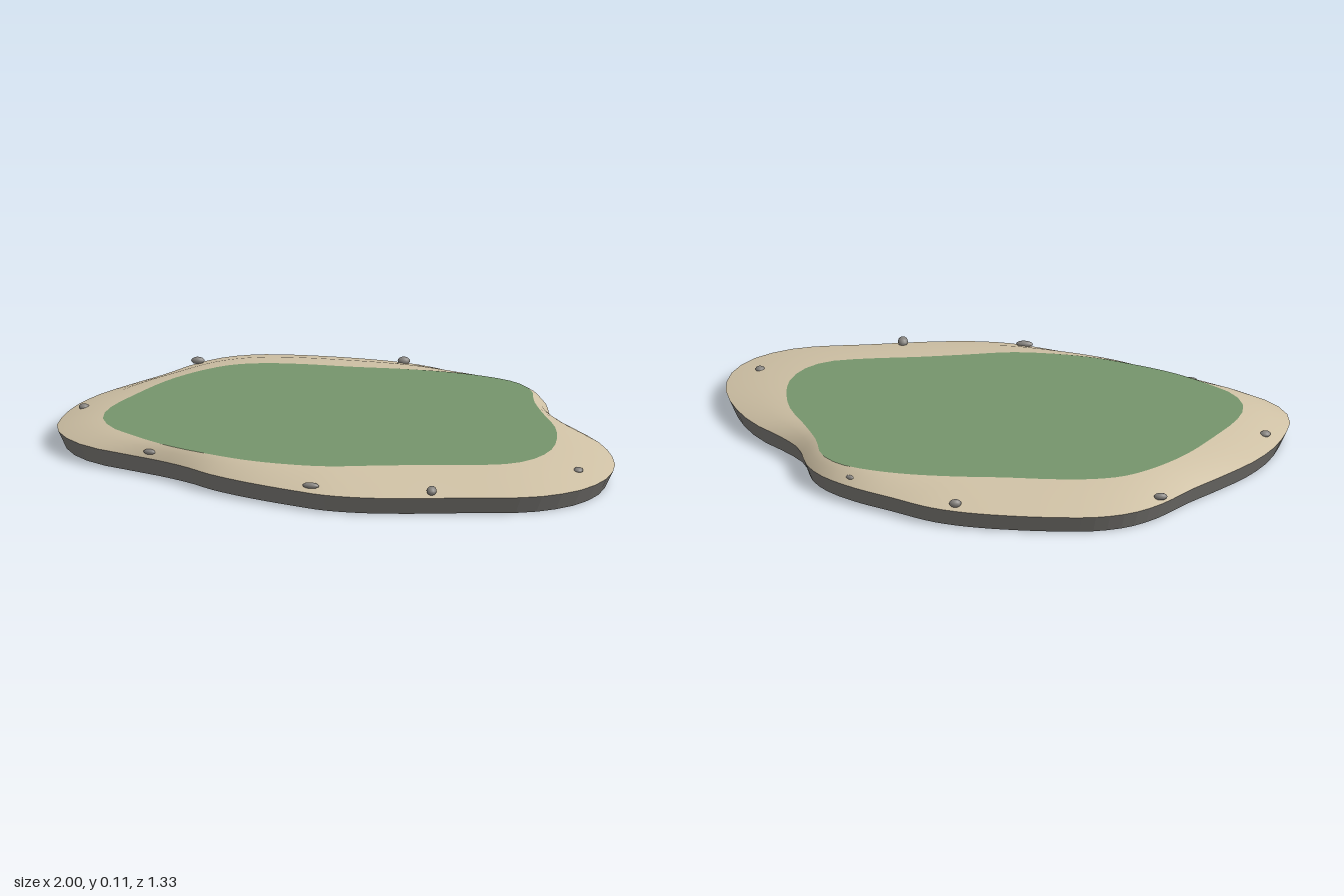
import * as THREE from 'three';

const SEGMENTS = 96;

// Shoreline and lawn edge as x, z pairs
const SHORE = [
  1.0, 0.28, 0.975, 0.42, 0.9, 0.52, 0.8, 0.58, 0.7, 0.61, 0.51, 0.63, 0.3, 0.655, 0.14, 0.663,
  0, 0.65, -0.1, 0.62, -0.29, 0.55, -0.425, 0.485, -0.505, 0.43, -0.61, 0.375, -0.745, 0.32,
  -0.88, 0.26, -0.97, 0.17, -1.0, 0.08, -0.985, -0.02, -0.95, -0.12, -0.88, -0.23, -0.77, -0.345,
  -0.665, -0.445, -0.56, -0.56, -0.46, -0.63, -0.345, -0.665, -0.21, -0.672, 0, -0.66,
  0.16, -0.635, 0.27, -0.6, 0.4, -0.53, 0.54, -0.455, 0.645, -0.375, 0.7, -0.295, 0.735, -0.16,
  0.805, -0.07, 0.885, 0.01, 0.955, 0.12,
];
const LAWN = [
  0.783, 0.18, 0.767, 0.28, 0.71, 0.365, 0.635, 0.41, 0.51, 0.433, 0.325, 0.45, 0.165, 0.47,
  0, 0.492, -0.13, 0.487, -0.29, 0.46, -0.45, 0.405, -0.585, 0.345, -0.72, 0.255, -0.8, 0.185,
  -0.835, 0.095, -0.815, 0, -0.745, -0.12, -0.64, -0.27, -0.53, -0.375, -0.425, -0.44,
  -0.32, -0.465, -0.185, -0.47, 0, -0.46, 0.19, -0.455, 0.35, -0.44, 0.485, -0.41,
  0.59, -0.365, 0.65, -0.295, 0.67, -0.19, 0.715, -0.07, 0.767, 0.05,
];

// Closed smooth outline resampled at even angles around the centre
function ring(pairs, y) {
  const points = [];
  for (let i = 0; i < pairs.length; i += 2) points.push(new THREE.Vector3(pairs[i], y, pairs[i + 1]));
  const fine = new THREE.CatmullRomCurve3(points, true).getPoints(2400);
  return Array.from({ length: SEGMENTS }, (_, i) => {
    const a = (i / SEGMENTS) * Math.PI * 2;
    const dx = Math.cos(a), dz = Math.sin(a);
    const facing = (p) => (p.x * dx + p.z * dz) / Math.hypot(p.x, p.z);
    return fine.reduce((best, p) => (facing(p) > facing(best) ? p : best)).clone();
  });
}

// Surface through a stack of rings, ordered from the outside bottom to the top
function loft(rings) {
  const positions = rings.flat().flatMap((p) => [p.x, p.y, p.z]);
  const index = [];
  for (let r = 0; r < rings.length - 1; r++) {
    for (let i = 0; i < SEGMENTS; i++) {
      const j = (i + 1) % SEGMENTS;
      const a = r * SEGMENTS + i, b = r * SEGMENTS + j;
      index.push(a, a + SEGMENTS, b, b, a + SEGMENTS, b + SEGMENTS);
    }
  }
  const geometry = new THREE.BufferGeometry();
  geometry.setAttribute('position', new THREE.Float32BufferAttribute(positions, 3));
  geometry.setIndex(index);
  geometry.computeVertexNormals();
  return geometry;
}

function material(name, color, options = {}) {
  const m = new THREE.MeshStandardMaterial({ color, ...options });
  m.name = name;
  return m;
}

export function createModel() {
  const group = new THREE.Group();
  group.name = 'island';
  const open = { side: THREE.DoubleSide };
  const grass = material('grass', 0x75946b, open);
  const sand = material('sand', 0xcfc1a5, open);
  const rock = material('rock', 0x787672, { ...open, flatShading: true });
  const pebble = material('pebble', 0x86837f);

  const add = (name, geometry, mat) => {
    const mesh = new THREE.Mesh(geometry, mat);
    mesh.name = name;
    group.add(mesh);
    return mesh;
  };

  const shore = ring(SHORE, 0.066);
  const lawn = ring(LAWN, 0.113);
  const base = shore.map((p) => new THREE.Vector3(p.x * 0.97, 0, p.z * 0.97));
  const bank = shore.map((p, i) => p.clone().lerp(lawn[i], 0.5).setY(0.097));
  const centre = lawn.map(() => new THREE.Vector3(0, 0.113, 0));

  // Open-bottomed shell: rock wall, sloping beach, flat lawn
  add('rockWall', loft([base, shore]), rock);
  add('beach', loft([shore, bank, lawn]), sand);
  add('lawn', loft([lawn, centre]), grass);

  // Pebbles on the beach: x, y, z, half sizes, turn
  const pebbles = [
    [-0.555, 0.085, -0.54, 0.024, 0.013, 0.014, 0],
    [0.17, 0.084, -0.605, 0.022, 0.015, 0.016, 0.1],
    [0.545, 0.085, -0.42, 0.018, 0.01, 0.01, -0.5],
    [-0.915, 0.087, -0.06, 0.019, 0.011, 0.017, 0],
    [-0.645, 0.086, 0.345, 0.024, 0.01, 0.012, -0.2],
    [-0.05, 0.085, 0.61, 0.03, 0.011, 0.013, -0.1],
    [0.38, 0.085, 0.62, 0.018, 0.016, 0.024, 0],
    [0.88, 0.09, 0.39, 0.017, 0.01, 0.018, 0],
  ];
  const ball = new THREE.SphereGeometry(1, 12, 8);
  pebbles.forEach(([x, y, z, sx, sy, sz, turn], i) => {
    const mesh = add(`pebble${i + 1}`, ball, pebble);
    mesh.position.set(x, y, z);
    mesh.scale.set(sx, sy, sz);
    mesh.rotation.y = turn;
  });

  return group;
}
